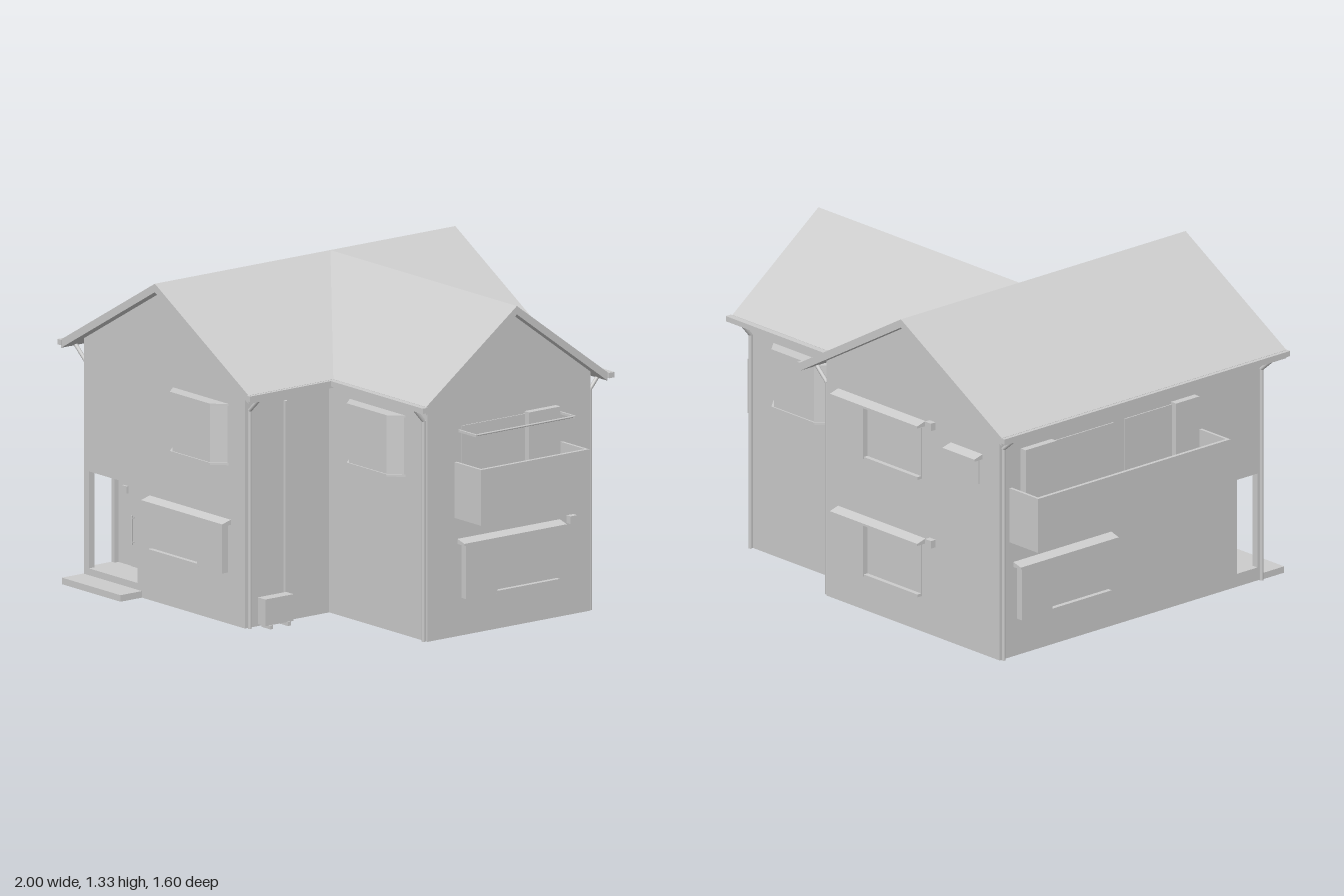
import * as THREE from 'three';

const plaster = new THREE.MeshStandardMaterial({ color: 0xcccccc });
plaster.name = 'light grey';

function add(parent, name, geometry) {
  const mesh = new THREE.Mesh(geometry, plaster);
  mesh.name = name;
  parent.add(mesh);
  return mesh;
}

// Box given by its extents on each axis
function box(parent, name, x0, x1, y0, y1, z0, z1) {
  const mesh = add(parent, name, new THREE.BoxGeometry(x1 - x0, y1 - y0, z1 - z0));
  mesh.position.set((x0 + x1) / 2, (y0 + y1) / 2, (z0 + z1) / 2);
  return mesh;
}

function prism(points, depth) {
  const shape = new THREE.Shape(points.map(p => new THREE.Vector2(...p)));
  return new THREE.ExtrudeGeometry(shape, { depth, bevelEnabled: false });
}

// Round pipe running through a list of points
function pipe(parent, name, points, radius = 0.008) {
  const group = new THREE.Group();
  group.name = name;
  const v = points.map(p => new THREE.Vector3(...p));
  for (let i = 1; i < v.length; i++) {
    const dir = v[i].clone().sub(v[i - 1]);
    const m = add(group, 'pipeSection', new THREE.CylinderGeometry(radius, radius, dir.length(), 10));
    m.position.copy(v[i]).add(v[i - 1]).multiplyScalar(0.5);
    m.quaternion.setFromUnitVectors(new THREE.Vector3(0, 1, 0), dir.normalize());
  }
  parent.add(group);
}

// Group whose local x runs along a wall and local z points out of it
function wallFrame(parent, name, x, z, angle) {
  const group = new THREE.Group();
  group.name = name;
  group.position.set(x, 0, z);
  group.rotation.y = angle;
  parent.add(group);
  return group;
}

// Sloping canopy over a window
function canopy(wall, u0, u1, y) {
  const g = prism([[-0.01, 0], [0.045, 0], [0.045, 0.009], [-0.01, 0.024]], u1 - u0);
  g.rotateY(-Math.PI / 2);
  const m = add(wall, 'canopy', g);
  m.position.set(u1, y, 0);
}

// Sliding window with a shutter case on one side
function slidingWindow(wall, u0, u1, y0, y1, caseOnLeft, hasCanopy = true) {
  const third = (u1 - u0) / 3;
  const split = caseOnLeft ? u0 + third : u1 - third;
  const [c0, c1] = caseOnLeft ? [u0, split] : [split, u1];
  const [w0, w1] = caseOnLeft ? [split, u1] : [u0, split];
  box(wall, 'shutterCase', c0, c1, y0, y1 + 0.01, -0.01, 0.03);
  box(wall, 'windowPane', w0, w1, y0, y1, -0.003, 0.005);
  box(wall, 'windowSill', w0, w1, y0 - 0.004, y0 + 0.008, -0.01, 0.025);
  if (hasCanopy) canopy(wall, u0 - 0.02, u1 + 0.02, y1 + 0.01);
}

// Bay window with splayed sides and thin top and bottom boards
function bayWindow(wall, centre) {
  const layers = [['bayWindow', 0.17, 0.05, 0.66, 0.9], ['bayTop', 0.178, 0.056, 0.897, 0.906],
    ['bayBottom', 0.178, 0.056, 0.653, 0.662]];
  for (const [name, h, out, y0, y1] of layers) {
    const g = prism([[-h, 0.01], [h, 0.01], [h, 0], [h - 0.05, -out], [0.05 - h, -out], [-h, 0]], y1 - y0);
    g.rotateX(-Math.PI / 2);
    add(wall, name, g).position.set(centre, y0, 0);
  }
}

// Open-topped balcony
function balcony(wall, u0, u1) {
  box(wall, 'balconyFloor', u0, u1, 0.49, 0.525, -0.01, 0.17);
  box(wall, 'balconyFront', u0, u1, 0.49, 0.72, 0.155, 0.17);
  box(wall, 'balconyEnd', u0, u0 + 0.012, 0.49, 0.72, -0.01, 0.17);
  box(wall, 'balconyEnd', u1 - 0.012, u1, 0.49, 0.72, -0.01, 0.17);
}

// Gable roof slab, centred on its ridge and extruded along z
function roofSlab(half, length) {
  const e = 0.985, r = 1.33, t = 0.035;
  return prism([[-half, e - t], [-half, e], [0, r], [half, e], [half, e - t], [0, r - t]], length);
}

export function createModel() {
  const house = new THREE.Group();
  house.name = 'house';

  // Main block with a porch cut out of its front corner
  const ridgeX = -0.315, L = -0.83, R = 0.2, top = 1.014;
  const rear = add(house, 'mainWalls', prism(
    [[L, 0], [R, 0], [R, top], [ridgeX, 1.31], [L, top]], 1.265));
  rear.position.z = -0.735;
  const front = add(house, 'frontWalls', prism(
    [[L, 0], [R, 0], [R, top], [ridgeX, 1.31], [L, top], [L, 0.455],
      [-0.49, 0.455], [-0.49, 0.055], [L, 0.055]], 0.16));
  front.position.z = 0.53;

  // Side wing, extruded towards +x
  const ridgeZ = -0.16;
  const wingGeo = prism([[-0.418, 0], [0.418, 0], [0.418, 1.0], [0, 1.31], [-0.418, 1.0]], 0.73);
  wingGeo.rotateY(Math.PI / 2);
  add(house, 'wingWalls', wingGeo).position.set(0.1, 0, ridgeZ);

  // Roofs
  add(house, 'mainRoof', roofSlab(0.6, 1.54)).position.set(ridgeX, 0, -0.8);
  const wingRoof = roofSlab(0.465, 1.195);
  wingRoof.rotateY(Math.PI / 2);
  add(house, 'wingRoof', wingRoof).position.set(ridgeX, 0, ridgeZ);

  // Gutters
  const g0 = 0.962, g1 = 0.984;
  box(house, 'mainGutter', -0.932, -0.91, g0, g1, -0.8, 0.745);
  box(house, 'mainGutter', 0.275, 0.3, g0, g1, 0.305, 0.745);
  box(house, 'mainGutter', 0.275, 0.3, g0, g1, -0.8, -0.625);
  box(house, 'wingGutter', 0.275, 0.89, g0, g1, 0.305, 0.33);
  box(house, 'wingGutter', 0.275, 0.89, g0, g1, -0.652, -0.625);

  // Downpipes
  for (const z of [0.675, -0.72]) {
    pipe(house, 'downpipe', [[-0.92, 0.97, z], [-0.838, 0.9, z], [-0.838, 0, z]]);
    pipe(house, 'downpipe', [[0.288, 0.97, z], [0.212, 0.9, z], [0.212, 0, z]]);
  }
  for (const s of [1, -1]) {
    const at = d => ridgeZ + s * d;
    pipe(house, 'downpipe', [[0.815, 0.97, at(0.478)], [0.815, 0.91, at(0.427)], [0.815, 0, at(0.427)]]);
  }

  // Porch: corner post, step, door, handle and intercom
  box(house, 'porchPost', L, -0.8, 0.05, 0.46, 0.66, 0.69);
  box(house, 'porchSideWall', L, -0.81, 0.05, 0.46, 0.525, 0.55);
  box(house, 'porchStep', -0.835, -0.46, 0, 0.027, 0.68, 0.8);
  box(house, 'frontDoor', -0.72, -0.495, 0.056, 0.45, 0.525, 0.537);
  pipe(house, 'doorHandle', [[-0.7, 0.15, 0.55], [-0.7, 0.27, 0.55]], 0.004);
  for (const y of [0.16, 0.26]) box(house, 'handleMount', -0.703, -0.697, y - 0.003, y + 0.003, 0.53, 0.55);
  box(house, 'intercom', -0.776, -0.746, 0.35, 0.38, 0.525, 0.54);

  // Front face
  const frontWall = wallFrame(house, 'frontWall', 0, 0.69, 0);
  slidingWindow(frontWall, -0.39, 0.09, 0.21, 0.4, false);
  bayWindow(frontWall, -0.083);

  // Wing front and back
  bayWindow(wallFrame(house, 'wingFrontWall', 0, 0.258, 0), 0.51);
  bayWindow(wallFrame(house, 'wingBackWall', 0, -0.578, Math.PI), -0.51);

  // Wing end: balcony, windows, vent and laundry pole
  const wingEnd = wallFrame(house, 'wingEndWall', 0.83, 0, Math.PI / 2);
  balcony(wingEnd, -0.12, 0.435);
  slidingWindow(wingEnd, -0.085, 0.4, 0.155, 0.37, true);
  slidingWindow(wingEnd, -0.085, 0.4, 0.525, 0.865, false, false);
  box(wingEnd, 'ventHood', 0.455, 0.49, 0.38, 0.412, -0.01, 0.025);
  pipe(wingEnd, 'laundryPole', [[-0.1, 0.845, 0.1], [0.415, 0.845, 0.1]], 0.004);
  for (const u of [-0.095, 0.41]) box(wingEnd, 'poleBracket', u - 0.004, u + 0.004, 0.84, 0.85, -0.01, 0.11);

  // Back face: windows on both floors, vents and a small canopy
  const backWall = wallFrame(house, 'backWall', 0, -0.735, Math.PI);
  for (const y of [0.155, 0.655]) {
    slidingWindow(backWall, -0.11, 0.37, y, y + 0.215, true);
    box(backWall, 'ventHood', 0.415, 0.45, y + 0.225, y + 0.257, -0.01, 0.025);
  }
  canopy(backWall, 0.54, 0.73, 0.83);
  box(backWall, 'smallWindow', 0.56, 0.71, 0.72, 0.83, -0.003, 0.005);

  // Left face: long balcony and windows
  const leftWall = wallFrame(house, 'leftWall', L, 0, -Math.PI / 2);
  balcony(leftWall, -0.68, 0.36);
  slidingWindow(leftWall, -0.64, -0.15, 0.155, 0.37, true);
  slidingWindow(leftWall, -0.62, -0.12, 0.525, 0.865, true, false);
  slidingWindow(leftWall, -0.06, 0.32, 0.525, 0.865, false, false);

  // Outdoor unit and its duct in the inner corner
  box(house, 'outdoorUnit', 0.22, 0.268, 0.015, 0.125, 0.495, 0.64);
  for (const z of [0.515, 0.605]) box(house, 'unitFoot', 0.22, 0.275, 0, 0.016, z, z + 0.015);
  box(house, 'unitDuct', 0.195, 0.212, 0.03, 0.91, 0.479, 0.492);

  return house;
}
